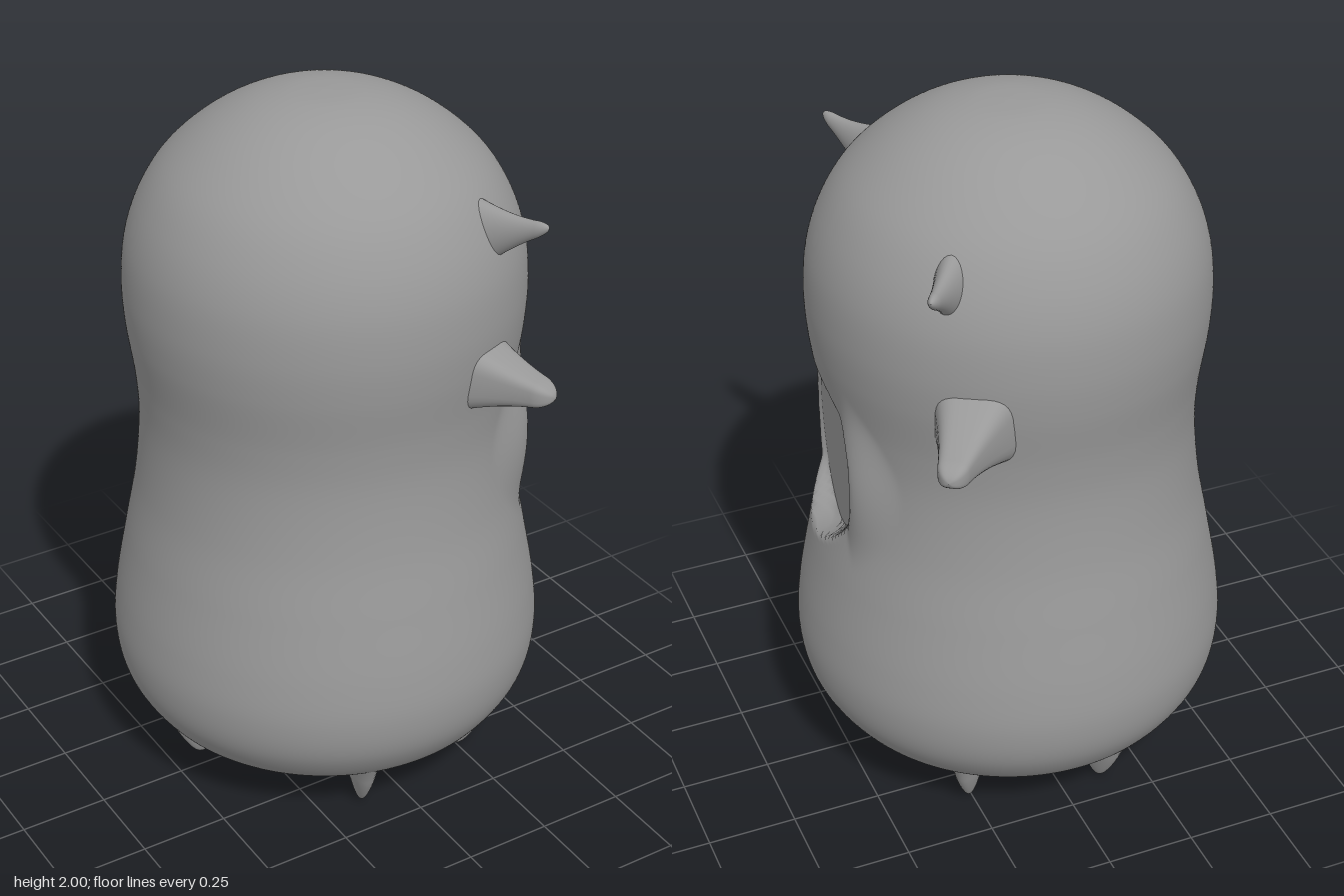
import * as THREE from 'three';
import { mergeVertices } from 'three/addons/utils/BufferGeometryUtils.js';
import { ParametricGeometry } from 'three/addons/geometries/ParametricGeometry.js';

const material = new THREE.MeshStandardMaterial({ color: 0x999999 });
const CENTRE_Z = -0.02;
const V = (x, y, z) => new THREE.Vector3(x, y, z);
const { lerp, smoothstep } = THREE.MathUtils;

// Flat round face on the left side, sunk behind a low lip
const FACE = { centre: V(0.467, 1.02, 0.08), angle: 0.17, radius: 0.24, wall: 0.03, lip: 0.015, blend: 0.14 };
const faceNormal = V(Math.cos(FACE.angle), 0, Math.sin(FACE.angle));

function addMesh(group, name, geometry) {
  const mesh = new THREE.Mesh(geometry, material);
  mesh.name = name;
  group.add(mesh);
  return mesh;
}

// Rounded, waisted body with a recess and lip for the round face
function bodyGeometry() {
  const profile = new THREE.SplineCurve([
    [0.43, 0.14], [0.475, 0.146], [0.53, 0.185], [0.588, 0.28], [0.608, 0.39], [0.598, 0.52],
    [0.565, 0.7], [0.531, 0.88], [0.514, 1.06], [0.519, 1.2], [0.54, 1.36], [0.545, 1.48],
    [0.532, 1.6], [0.494, 1.71], [0.43, 1.81], [0.33, 1.9], [0.22, 1.962], [0.11, 1.993], [0, 2],
  ].map(([r, y]) => new THREE.Vector2(r, y)));
  const points = profile.getSpacedPoints(180);
  points.forEach(p => { p.x = Math.max(p.x, 0); p.y = Math.min(p.y, 2); });
  const lathe = new THREE.LatheGeometry(points, 256);
  lathe.translate(0, 0, CENTRE_Z);
  lathe.deleteAttribute('uv');
  lathe.deleteAttribute('normal');
  const geometry = mergeVertices(lathe);
  const position = geometry.attributes.position;
  const p = V(0, 0, 0), offset = V(0, 0, 0);
  for (let i = 0; i < position.count; i++) {
    p.fromBufferAttribute(position, i);
    if (p.x < 0) continue;
    offset.subVectors(p, FACE.centre);
    const height = offset.dot(faceNormal);
    const distance = offset.addScaledVector(faceNormal, -height).length();
    const inside = 1 - smoothstep(distance, FACE.radius, FACE.radius + FACE.wall);
    const near = 1 - smoothstep(distance, FACE.radius, FACE.radius + FACE.blend);
    const rim = height < FACE.lip ? lerp(height, FACE.lip, near) : height;
    p.addScaledVector(faceNormal, lerp(rim, 0, inside) - height);
    position.setXYZ(i, p.x, p.y, p.z);
  }
  geometry.computeVertexNormals();
  return geometry;
}

// Tapered spike with a rounded tip; width and height are half sizes [at base, at tip]
function spikeGeometry({ base, tip, axis, up, width, height, squareness, flare, capStart }) {
  const side = V(0, 0, 0).crossVectors(up, axis).normalize();
  const bend = c => Math.sign(c) * Math.abs(c) ** (2 / squareness);
  return new ParametricGeometry((u, v, target) => {
    const t = 1 - (1 - v) ** 1.5;
    const cap = Math.sqrt(Math.max(0, 1 - (Math.max(0, t - capStart) / (1 - capStart)) ** 2));
    const taper = (1 - t) ** flare;
    const a = u * Math.PI * 2;
    target.lerpVectors(base, tip, t)
      .addScaledVector(side, bend(Math.cos(a)) * lerp(width[1], width[0], taper) * cap)
      .addScaledVector(up, bend(Math.sin(a)) * lerp(height[1], height[0], taper) * cap);
  }, 32, 28);
}

export function createModel() {
  const model = new THREE.Group();
  model.name = 'model';

  addMesh(model, 'body', bodyGeometry());

  const underside = addMesh(model, 'underside', new THREE.CircleGeometry(0.43, 128));
  underside.rotation.x = Math.PI / 2;
  underside.position.set(0, 0.14, CENTRE_Z);

  const face = addMesh(model, 'roundFace', new THREE.CircleGeometry(FACE.radius, 96));
  face.position.copy(FACE.centre).addScaledVector(faceNormal, 0.003);
  face.rotation.y = Math.PI / 2 - FACE.angle;

  // Horizontal spikes: thin upper ones and stout lower ones
  const thin = { width: [0.06, 0.014], height: [0.12, 0.018], squareness: 2, flare: 1.5, capStart: 0.85 };
  const stout = { width: [0.11, 0.036], height: [0.115, 0.03], squareness: 3.5, flare: 1.5, capStart: 0.82 };
  const spikes = [
    ['upperFrontSpike', thin, V(0.21, 1.675, 0.34), V(0.308, 1.757, 0.555)],
    ['upperBackSpike', thin, V(0.27, 1.675, -0.33), V(0.41, 1.757, -0.52)],
    ['lowerFrontSpike', stout, V(0.17, 1.34, 0.41), V(0.275, 1.33, 0.66)],
    ['lowerBackSpike', stout, V(0.27, 1.34, -0.45), V(0.425, 1.33, -0.66)],
  ];
  for (const [name, shape, base, tip] of spikes) {
    const axis = tip.clone().sub(base).setY(0).normalize();
    addMesh(model, name, spikeGeometry({ ...shape, base, tip, axis, up: V(0, 1, 0) }));
  }

  // Six feet, each a fin lying along the body's radius
  const fin = { width: [0.055, 0.025], height: [0.125, 0.05], squareness: 2, flare: 1.4, capStart: 0.45 };
  const feet = [[0.4, 0.02], [0.25, 0.3], [-0.12, 0.37], [-0.4, -0.055], [-0.12, -0.4], [0.25, -0.335]];
  feet.forEach(([x, z], i) => {
    const up = V(x, 0, z - CENTRE_Z).normalize();
    const foot = spikeGeometry({ ...fin, base: V(x, 0.2, z), tip: V(x, 0, z), axis: V(0, -1, 0), up });
    addMesh(model, `foot${i + 1}`, foot);
  });

  return model;
}
